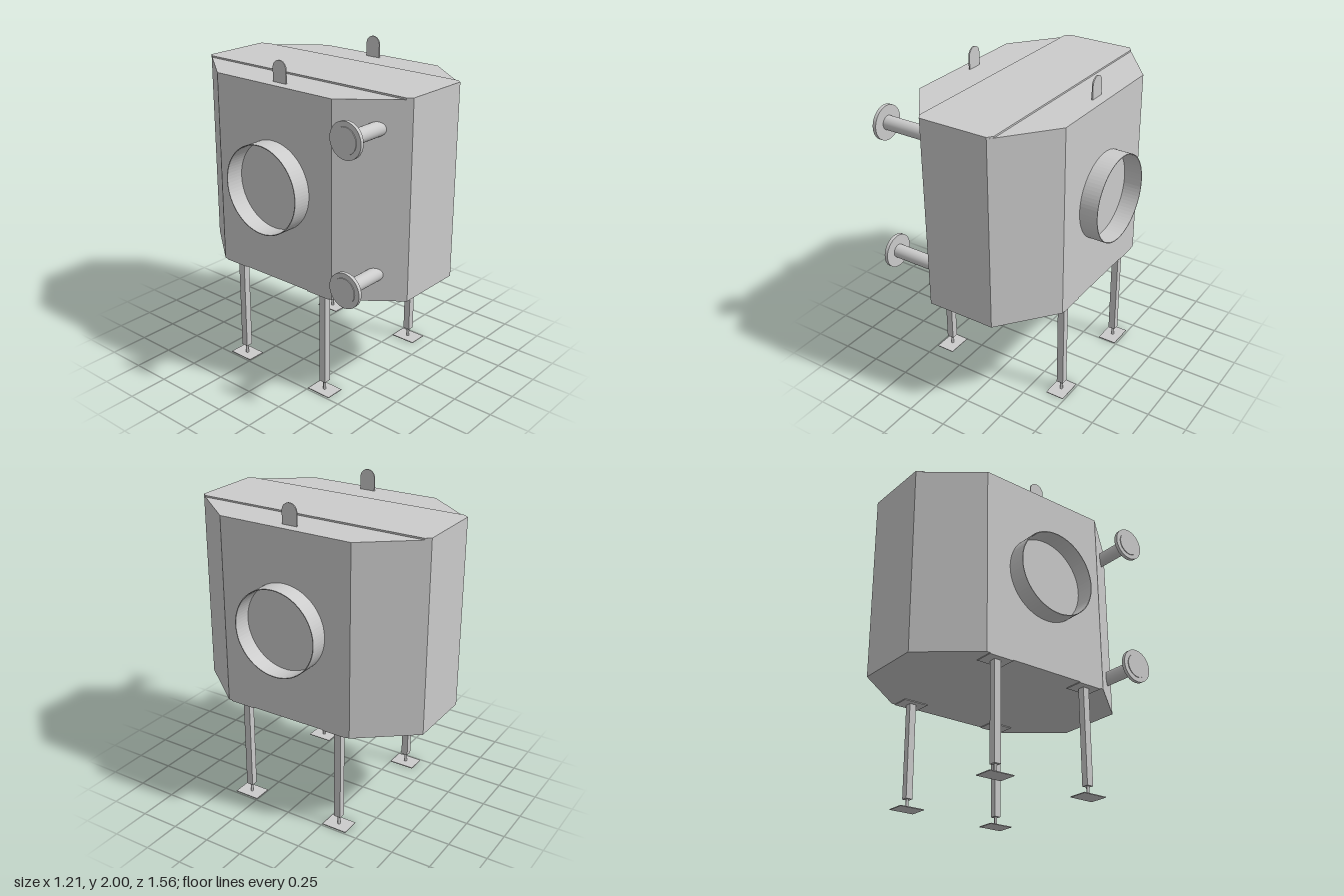
import * as THREE from 'three';

export function createModel() {
  const model = new THREE.Group();
  const mat = new THREE.MeshStandardMaterial({ color: 0xcccccc });
  const thin = new THREE.MeshStandardMaterial({ color: 0xcccccc, side: THREE.DoubleSide });

  const add = (name, geometry, x, y, z, parent = model, material = mat) => {
    const mesh = new THREE.Mesh(geometry, material);
    mesh.name = name;
    mesh.position.set(x, y, z);
    parent.add(mesh);
    return mesh;
  };
  const box = (w, h, d) => new THREE.BoxGeometry(w, h, d);
  const polygon = (points) => new THREE.Shape(points.map(([x, y]) => new THREE.Vector2(x, y)));
  // Upright prism from a plan outline, standing on y = 0
  const prism = (points, depth) =>
    new THREE.ExtrudeGeometry(polygon(points), { depth, bevelEnabled: false }).rotateX(-Math.PI / 2);
  // Cylinder lying along x
  const rod = (r, length, sides = 40) =>
    new THREE.CylinderGeometry(r, r, length, sides).rotateZ(Math.PI / 2);
  // Eight-sided plan with end half width w and end depth d at that width
  const plan = (w, d, endW, endD) => [
    [w, -d], [w, d], [endW, endD], [-endW, endD], [-w, d], [-w, -d], [-endW, -endD], [endW, -endD],
  ];

  // Tank and raised middle strip of the lid
  add('tankBody', prism(plan(0.49, 0.44, 0.22, 0.78), 1.195), 0, 0.675, 0);
  add('lidStrip', prism(plan(0.245, 0.748, 0.22, 0.78), 0.01), 0, 1.87, 0);

  // Thin-walled round duct collars on both sides
  const ring = new THREE.Shape().absarc(0, 0, 0.272, 0, Math.PI * 2);
  ring.holes.push(new THREE.Path().absarc(0, 0, 0.267, 0, Math.PI * 2, true));
  const collar = new THREE.ExtrudeGeometry(ring, { depth: 0.118, bevelEnabled: false, curveSegments: 40 })
    .rotateY(Math.PI / 2);

  // Lifting lug outline with a rounded top
  const lugShape = new THREE.Shape();
  lugShape.moveTo(-0.05, 0);
  lugShape.lineTo(0.05, 0);
  lugShape.lineTo(0.05, 0.08);
  lugShape.absarc(0, 0.08, 0.05, 0, Math.PI);
  lugShape.closePath();
  const lug = new THREE.ExtrudeGeometry(lugShape, { depth: 0.008, bevelEnabled: false, curveSegments: 16 })
    .translate(0, 0, -0.004).rotateY(Math.PI / 2);

  for (const side of [-1, 1]) {
    add('ductCollar', collar, side > 0 ? 0.487 : -0.605, 1.272, 0, model, thin);
    add('liftingLug', lug, side * 0.423, 1.87, 0);

    // Legs with mounting plate, adjusting rod and foot
    for (const end of [-1, 1]) {
      const leg = new THREE.Group();
      leg.name = 'leg';
      leg.position.set(side * 0.43, 0, end * 0.335);
      model.add(leg);
      add('legPost', box(0.044, 0.607, 0.044), 0, 0.3685, 0, leg);
      add('mountingPlate', box(0.12, 0.005, 0.165), 0, 0.6725, 0, leg);
      add('adjustingRod', new THREE.CylinderGeometry(0.009, 0.009, 0.066, 16), 0, 0.035, 0, leg);
      add('footPlate', box(0.12, 0.005, 0.165), 0, 0.0025, 0, leg);
    }
  }

  // Flanged pipes leaving one slanted front face
  for (const y of [0.84, 1.705]) {
    const pipe = new THREE.Group();
    pipe.name = 'flangedPipe';
    pipe.position.set(0, y, 0.627);
    model.add(pipe);
    add('pipe', rod(0.043, 0.3), -0.44, 0, 0, pipe);
    add('flange', rod(0.106, 0.022), -0.592, 0, 0, pipe);
    add('raisedFace', rod(0.076, 0.005), -0.605, 0, 0, pipe);
  }
  return model;
}
